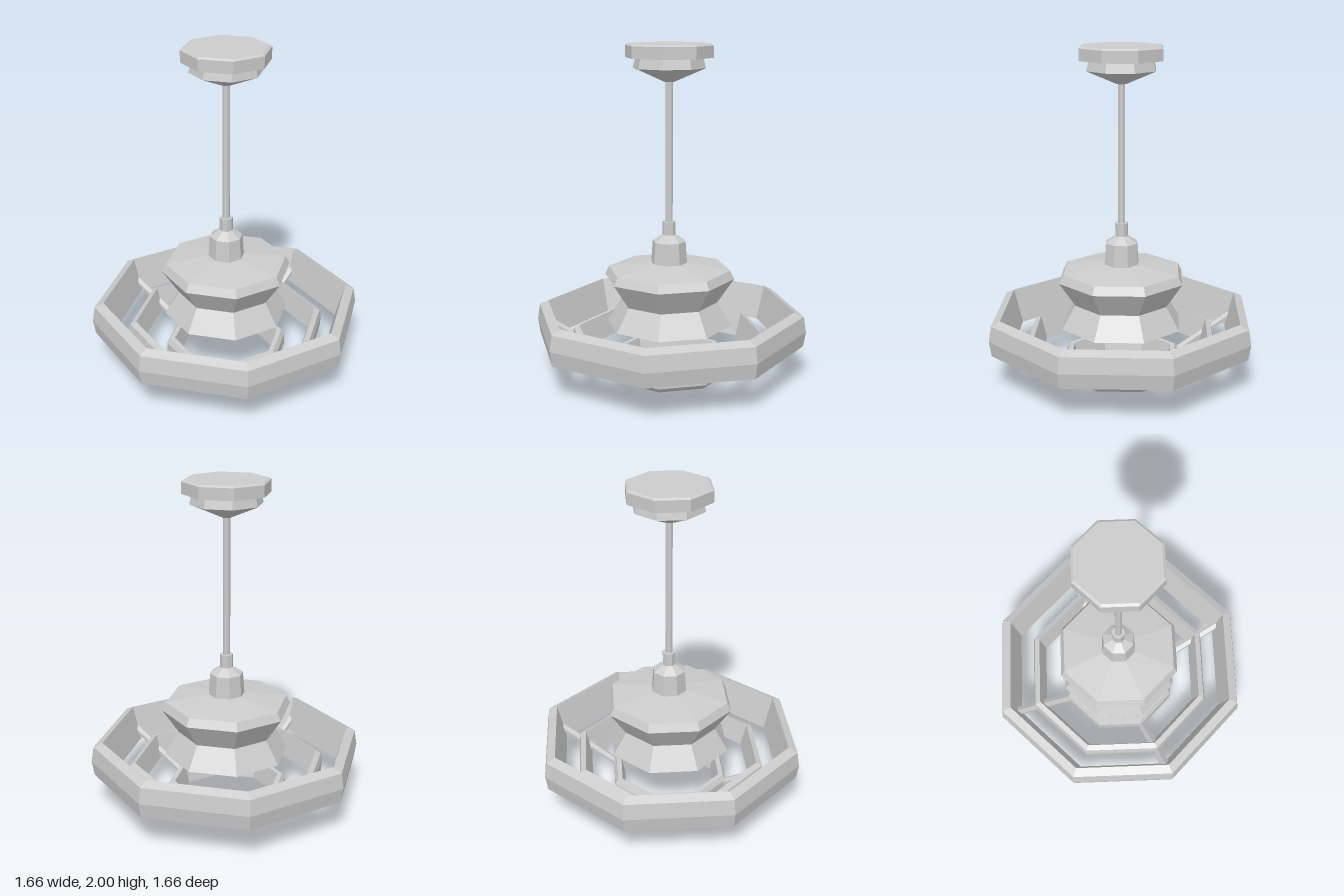
import * as THREE from 'three';

const material = new THREE.MeshStandardMaterial({ color: 0xcccccc, flatShading: true, side: THREE.DoubleSide });

// Turned part with eight flat sides; profile is [radius, y], climbing on the outside
function turned(name, profile) {
  const points = profile.map(([r, y]) => new THREE.Vector2(r, y));
  const geometry = new THREE.LatheGeometry(points, 8).toNonIndexed();
  geometry.computeVertexNormals();
  const mesh = new THREE.Mesh(geometry, material);
  mesh.name = name;
  return mesh;
}

// Closed ring: the profile returns to its first point
const ring = (name, profile) => turned(name, [...profile, profile[0]]);

// Flattened six-sided bar running outward and upward along z
function spoke(r0, y0, r1, y1) {
  const geometry = new THREE.CylinderGeometry(0.03, 0.03, Math.hypot(r1 - r0, y1 - y0), 6).toNonIndexed();
  geometry.scale(1, 1, 0.65);
  geometry.rotateX(Math.atan2(r1 - r0, y1 - y0));
  geometry.translate(0, (y0 + y1) / 2, (r0 + r1) / 2);
  geometry.computeVertexNormals();
  return new THREE.Mesh(geometry, material);
}

export function createModel() {
  const lamp = new THREE.Group();
  lamp.name = 'pendantLamp';

  // Ceiling mount and hanging rod
  lamp.add(turned('ceilingMount', [
    [0, 1.78], [0.03, 1.78], [0.215, 1.86], [0.2, 1.92], [0.26, 1.92], [0.26, 1.99], [0.245, 2], [0, 2],
  ]));
  lamp.add(turned('rod', [[0.022, 0.94], [0.022, 1.79]]));

  // Socket cover with its collar
  lamp.add(turned('socketCover', [
    [0.11, 0.69], [0.1, 0.83], [0.04, 0.87], [0.04, 0.95], [0, 0.95],
  ]));

  // Waisted shade, open below, and the bulb inside it
  lamp.add(turned('shade', [
    [0.38, 0.32], [0.295, 0.46], [0.395, 0.61], [0.37, 0.66], [0.1, 0.7], [0, 0.7],
  ]));
  lamp.add(turned('bulb', [
    [0, 0.36], [0.06, 0.375], [0.1, 0.43], [0.09, 0.5], [0.05, 0.58], [0.05, 0.69],
  ]));

  // Three nested octagonal rings
  lamp.add(ring('outerRing', [
    [0.7, 0.21], [0.815, 0.21], [0.83, 0.3], [0.815, 0.395], [0.76, 0.42],
  ]));
  lamp.add(ring('middleRing', [
    [0.525, 0.13], [0.595, 0.13], [0.605, 0.14], [0.61, 0.21], [0.6, 0.255], [0.565, 0.27],
  ]));
  lamp.add(ring('lowerRing', [
    [0.3, 0.005], [0.345, 0], [0.375, 0.03], [0.375, 0.1], [0.355, 0.13], [0.325, 0.13],
  ]));

  // Four spokes joining the rings
  const spokes = new THREE.Group();
  spokes.name = 'spokes';
  for (let i = 0; i < 4; i++) {
    const bar = spoke(0.34, 0.07, 0.73, 0.28);
    bar.name = 'spoke';
    bar.rotation.y = i * Math.PI / 2;
    spokes.add(bar);
  }
  lamp.add(spokes);
  return lamp;
}
